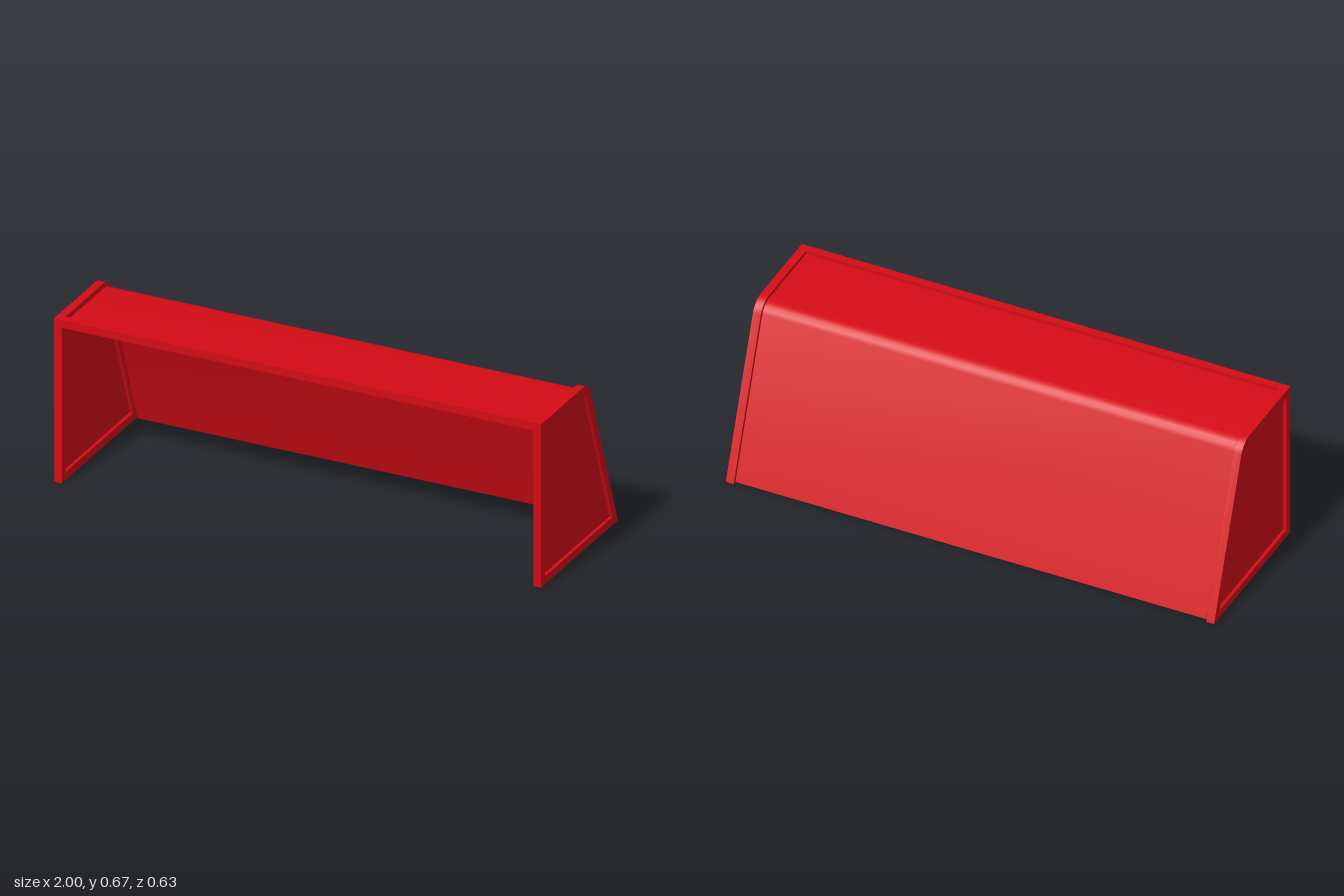
import * as THREE from 'three';
import { toCreasedNormals } from 'three/addons/utils/BufferGeometryUtils.js';

const DEPTH = 0.317, HEIGHT = 0.667, BAR = 0.032;
const TILT = THREE.MathUtils.degToRad(20); // lean of the back
const CORNER = { u: 0.026, v: 0.5985, r: 0.0685 };

// Rounded shoulder and sloping back, moved inwards by d; u runs backwards, v up
function backLine(d, bottom) {
  const pts = [];
  for (let i = 0; i <= 4; i++) {
    const a = THREE.MathUtils.lerp(Math.PI / 2, TILT, i / 4);
    const r = CORNER.r - d;
    pts.push(new THREE.Vector2(CORNER.u + r * Math.cos(a), CORNER.v + r * Math.sin(a)));
  }
  pts.push(new THREE.Vector2(DEPTH - d / Math.cos(TILT) - bottom * Math.tan(TILT), bottom));
  return pts;
}

// Closed side outline, moved inwards by d
function sideOutline(d) {
  return [
    new THREE.Vector2(-DEPTH + d, d),
    new THREE.Vector2(-DEPTH + d, HEIGHT - d),
    ...backLine(d, d),
  ];
}

// Extrude a side profile along x from x0 to x1
function extrudeAcross(outline, hole, x0, x1) {
  const shape = new THREE.Shape(outline);
  if (hole) shape.holes.push(new THREE.Path(hole));
  const geo = new THREE.ExtrudeGeometry(shape, { depth: x1 - x0, bevelEnabled: false });
  geo.rotateY(Math.PI / 2).translate(x0, 0, 0);
  return toCreasedNormals(geo, 0.5);
}

export function createModel() {
  const group = new THREE.Group();
  const red = new THREE.MeshStandardMaterial({ color: 0xd50c16, side: THREE.DoubleSide });
  const add = (name, geo) => {
    const mesh = new THREE.Mesh(geo, red);
    mesh.name = name;
    group.add(mesh);
    return mesh;
  };

  // Side frames with thin recessed panels
  for (const [label, s] of [['left', 1], ['right', -1]]) {
    const mid = s * (1 - BAR / 2);
    add(label + 'SideFrame',
      extrudeAcross(sideOutline(0), sideOutline(BAR), mid - BAR / 2, mid + BAR / 2));
    add(label + 'SidePanel',
      extrudeAcross(sideOutline(BAR - 0.002), null, mid - 0.003, mid + 0.003));
  }

  // Crossbar along the front top edge
  const bar = add('frontCrossbar', new THREE.BoxGeometry(2 - 2 * BAR, BAR, BAR));
  bar.position.set(0, HEIGHT - BAR / 2, DEPTH - BAR / 2);

  // Thin roof and back sheet, leaving a slit beside the right frame
  const front = -DEPTH + BAR - 0.002;
  const outer = [new THREE.Vector2(front, HEIGHT - 0.014), ...backLine(0.014, 0)];
  const inner = [new THREE.Vector2(front, HEIGHT - 0.019), ...backLine(0.019, 0)];
  add('roofAndBackSheet', extrudeAcross([...outer, ...inner.reverse()], null, -0.962, 0.97));

  return group;
}
